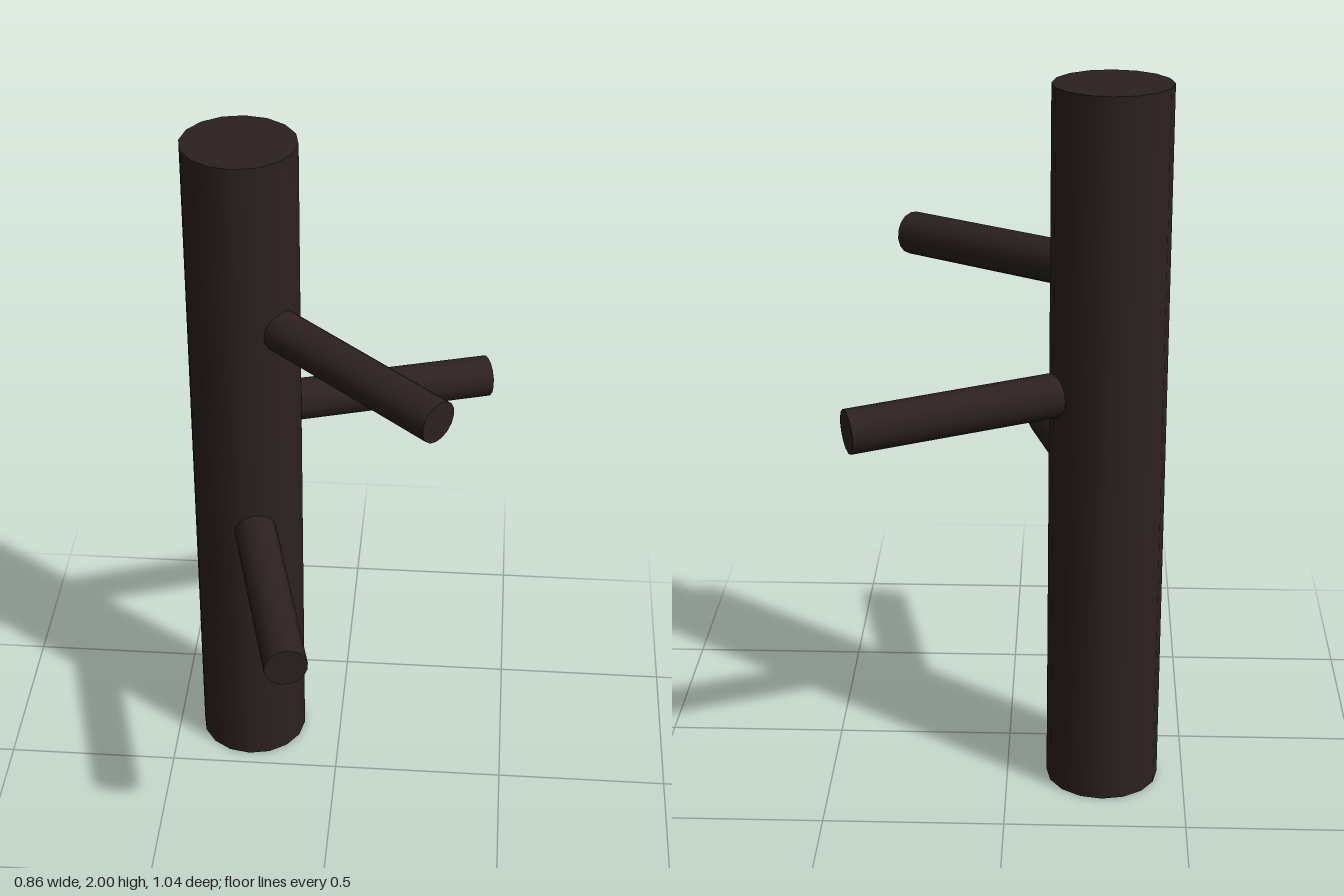
import * as THREE from 'three';

export function createModel() {
  const model = new THREE.Group();
  model.name = 'bareTree';
  const bark = new THREE.MeshStandardMaterial({ color: 0x2d2121 });
  bark.name = 'dark bark';

  // Trunk: a straight 16-sided post
  const trunkX = -0.27, trunkZ = -0.2;
  const trunk = new THREE.Mesh(new THREE.CylinderGeometry(0.158, 0.158, 2, 16), bark);
  trunk.name = 'trunk';
  trunk.position.set(trunkX, 1, trunkZ);
  model.add(trunk);

  // Branches: run from the trunk axis to the tip, drooping slightly
  const addBranch = (name, tipX, tipY, tipZ) => {
    const start = new THREE.Vector3(trunkX, tipY + 0.036, trunkZ);
    const tip = new THREE.Vector3(tipX, tipY, tipZ);
    const axis = tip.clone().sub(start);
    const branch = new THREE.Mesh(new THREE.CylinderGeometry(0.06, 0.06, axis.length(), 16), bark);
    branch.name = name;
    branch.position.copy(start).add(tip).multiplyScalar(0.5);
    branch.quaternion.setFromUnitVectors(new THREE.Vector3(0, 1, 0), axis.normalize());
    model.add(branch);
  };
  addBranch('lowerBranch', -0.094, 0.815, 0.506);
  addBranch('middleBranch', 0.406, 1.143, -0.467);
  addBranch('upperBranch', 0.285, 1.461, 0.269);

  return model;
}
